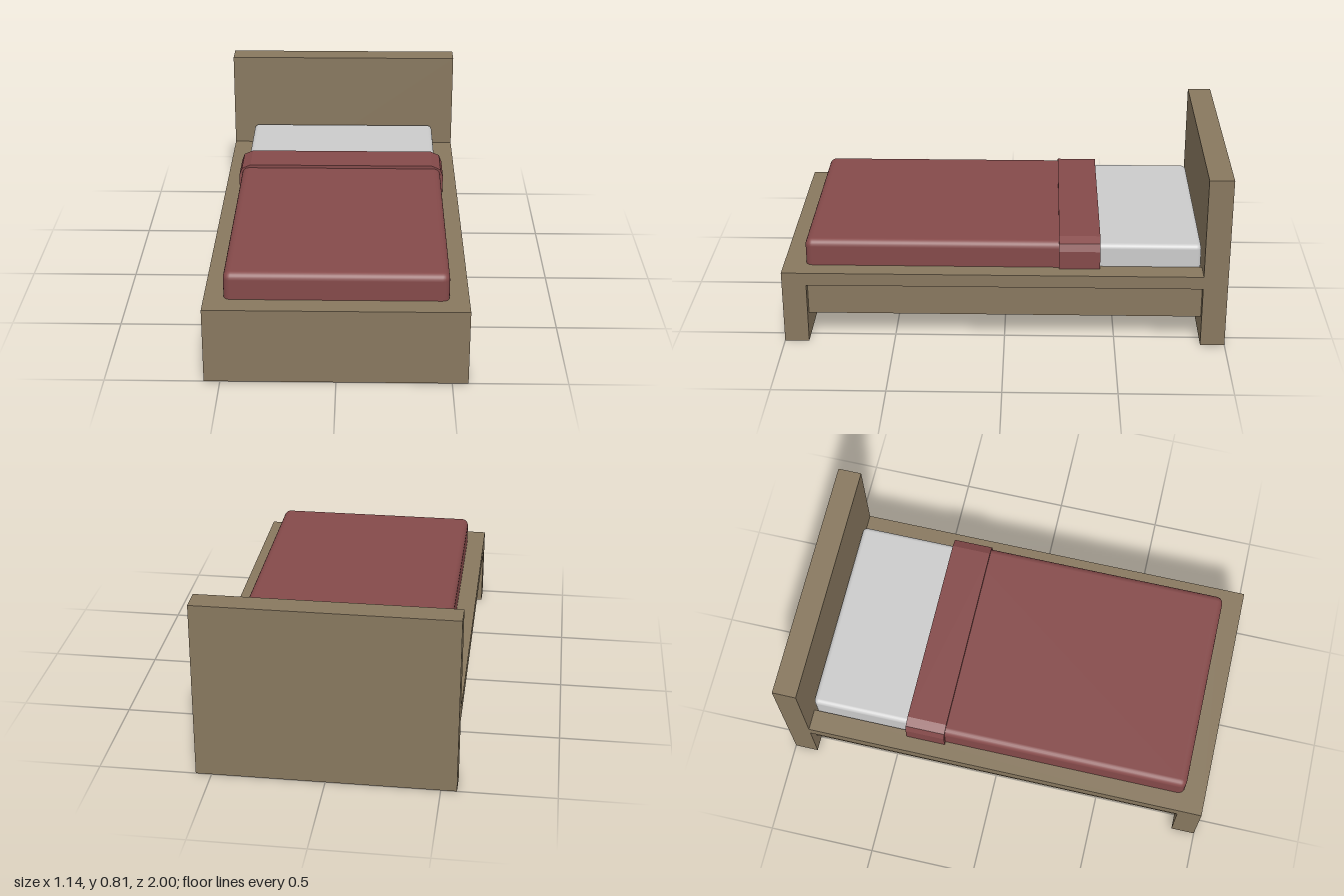
import * as THREE from 'three';
import { RoundedBoxGeometry } from 'three/addons/geometries/RoundedBoxGeometry.js';

const wood = new THREE.MeshStandardMaterial({ color: 0x88785f });
const red = new THREE.MeshStandardMaterial({ color: 0x854a4a });
const grey = new THREE.MeshStandardMaterial({ color: 0xcccccc });

export function createModel() {
  const bed = new THREE.Group();
  bed.name = 'bed';

  const add = (name, geometry, material) => {
    const mesh = new THREE.Mesh(geometry, material);
    mesh.name = name;
    bed.add(mesh);
    return mesh;
  };

  // Box given by its limits on each axis; a radius rounds its edges
  const block = (name, material, [x0, x1], [y0, y1], [z0, z1], radius = 0) => {
    const size = [x1 - x0, y1 - y0, z1 - z0];
    const geometry = radius
      ? new RoundedBoxGeometry(...size, 3, radius)
      : new THREE.BoxGeometry(...size);
    const mesh = add(name, geometry, material);
    mesh.position.set((x0 + x1) / 2, (y0 + y1) / 2, (z0 + z1) / 2);
  };

  // End boards
  block('headboard', wood, [-0.57, 0.57], [0, 0.815], [-1, -0.89]);
  block('footboard', wood, [-0.57, 0.57], [0, 0.345], [0.89, 1]);

  // Side frame: overhanging top board, inset rail and the ledge carrying the slats
  const length = [-0.89, 0.89];
  for (const [side, s] of [['left', 1], ['right', -1]]) {
    const span = (a, b) => (s > 0 ? [a, b] : [-b, -a]);
    block(side + 'TopBoard', wood, span(0.47, 0.57), [0.285, 0.345], length);
    block(side + 'Rail', wood, span(0.47, 0.53), [0.125, 0.285], length);
    block(side + 'Ledge', wood, span(0.36, 0.47), [0.205, 0.26], length);
  }

  // Slats across the frame
  const count = 13, pitch = 1.78 / count, gap = 0.02;
  for (let i = 0; i < count; i++) {
    const z = -0.89 + i * pitch;
    block('slat' + (i + 1), wood, [-0.47, 0.47], [0.26, 0.285],
      [z + gap / 2, z + pitch - gap / 2]);
  }

  // Bedding
  block('mattress', grey, [-0.465, 0.465], [0.285, 0.45], [-0.885, 0.885], 0.022);
  block('blanket', red, [-0.485, 0.485], [0.295, 0.468], [-0.4, 0.9], 0.032);

  // Folded-back band of the blanket, with chamfered shoulders
  const half = [[0.5, 0.34], [0.5, 0.43], [0.487, 0.464], [0.445, 0.483]];
  const outline = [...half, ...half.map(([x, y]) => [-x, y]).reverse()];
  const shape = new THREE.Shape(outline.map(([x, y]) => new THREE.Vector2(x, y)));
  const fold = add('blanketFold',
    new THREE.ExtrudeGeometry(shape, { depth: 0.185, bevelEnabled: false }), red);
  fold.position.z = -0.43;

  return bed;
}
